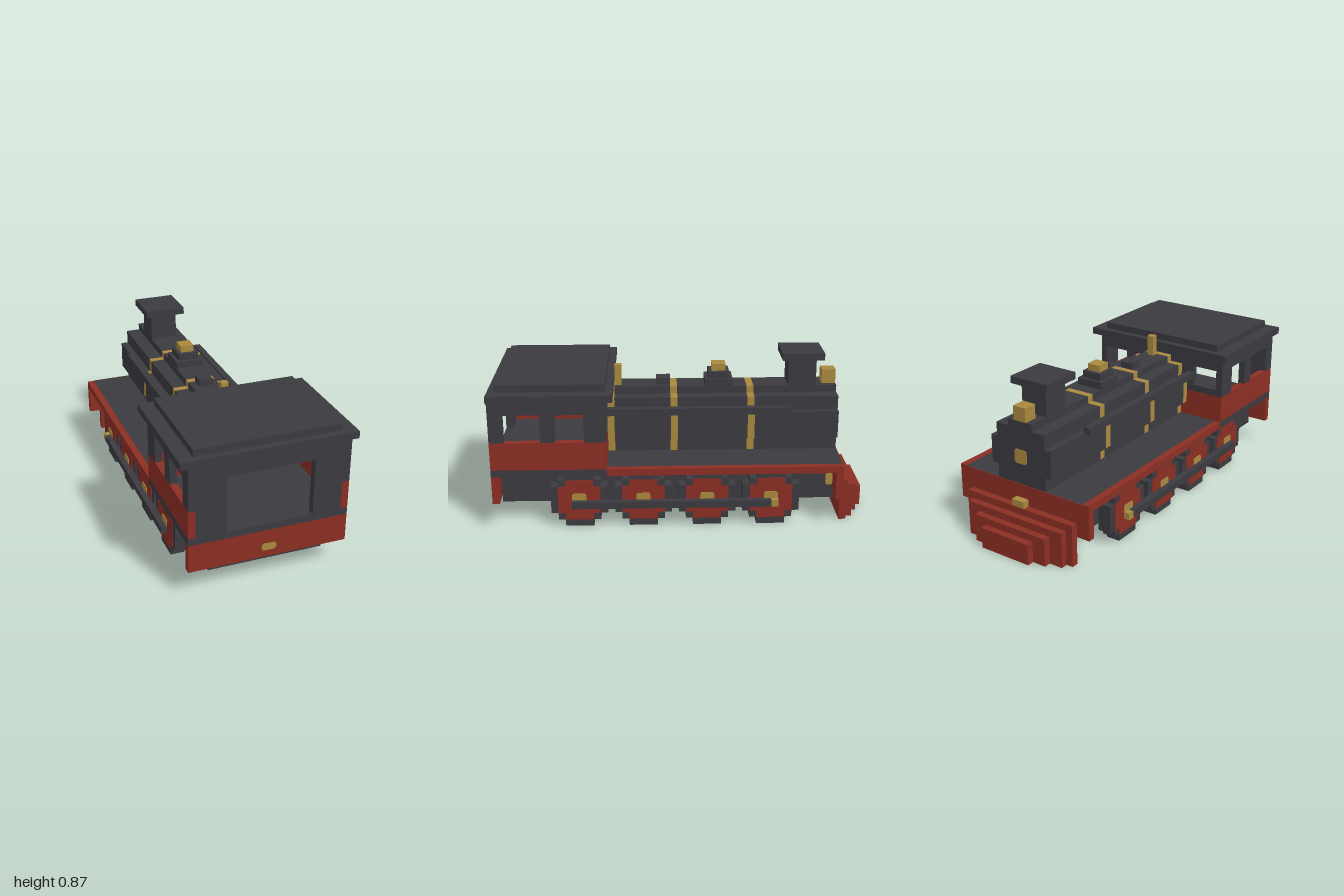
import * as THREE from 'three';

const U = 2 / 53; // one block

export function createModel() {
  const model = new THREE.Group();
  model.name = 'locomotive';
  const mat = (name, color) => {
    const m = new THREE.MeshStandardMaterial({ color });
    m.name = name;
    return m;
  };
  const dark = mat('charcoal', 0x3b3a40);
  const red = mat('brick red', 0x8b2e23);
  const gold = mat('brass', 0xaa893f);

  // Box in block units; k counts blocks from the cab end (z = 1) towards -z
  function box(name, m, x0, x1, y0, y1, k0, k1) {
    const g = new THREE.BoxGeometry((x1 - x0) * U, (y1 - y0) * U, (k1 - k0) * U);
    const mesh = new THREE.Mesh(g, m);
    mesh.name = name;
    mesh.position.set((x0 + x1) / 2 * U, (y0 + y1) / 2 * U, 1 - (k0 + k1) / 2 * U);
    model.add(mesh);
    return mesh;
  }
  const mid = (name, m, w, y0, y1, k0, k1) => box(name, m, -w, w, y0, y1, k0, k1);
  const pair = (name, m, x0, x1, y0, y1, k0, k1) => {
    box(name + 'Left', m, x0, x1, y0, y1, k0, k1);
    box(name + 'Right', m, -x1, -x0, y0, y1, k0, k1);
  };
  // Thin painted plate with clipped corners; turn is its rotation about y
  function plate(name, m, w, h, x, y, k, turn = 0) {
    const a = w / 2, b = h / 2, c = 0.25;
    const pts = [[a - c, -b], [a, c - b], [a, b - c], [a - c, b], [c - a, b], [-a, b - c], [-a, c - b], [c - a, -b]];
    const shape = new THREE.Shape(pts.map(p => new THREE.Vector2(p[0] * U, p[1] * U)));
    const mesh = new THREE.Mesh(new THREE.ExtrudeGeometry(shape, { depth: 0.004, bevelEnabled: false }), m);
    mesh.name = name;
    mesh.position.set(x * U, y * U, 1 - k * U);
    mesh.rotation.y = turn;
    model.add(mesh);
  }

  // Frame, deck and end beams
  mid('frame', dark, 8, 3, 8, 1, 48);
  mid('frameNose', dark, 8, 3, 4, 48, 49);
  mid('cabFloor', dark, 11, 8, 9, 0, 16);
  mid('deck', dark, 10, 8, 9, 16, 49);
  pair('deckEdge', red, 10, 11, 8, 9, 16, 49);
  mid('rearBeam', red, 11, 4, 8, 0, 1);
  mid('noseBeam', red, 11, 4, 8, 48, 49);
  mid('noseBeamTrim', red, 10, 8, 9, 49, 49.1);
  plate('rearCoupler', gold, 2, 1, 0, 5.5, 0);
  mid('noseCoupler', gold, 1, 6, 7, 49, 50);
  for (const s of [1, -1]) plate('frameLamp', gold, 1, 2, s * 8, 6, 47.5, s * Math.PI / 2);

  // Stepped cowcatcher
  [9, 8, 6, 4].forEach((w, i) => mid('cowcatcherStep', red, w, 0, 6 - i, 49 + i, 50 + i));

  // Wheels: stepped rim, red face, brass hub
  for (const k of [12, 21, 30, 39]) {
    for (const [h, y0, y1] of [[2, 0, 1], [3, 1, 2], [4, 2, 6], [3, 6, 7], [2, 7, 8]])
      pair('wheelRim', dark, 8, 10, y0, y1, k - h, k + h);
    for (const [h, y0, y1] of [[2, 1, 2], [3, 2, 6], [2, 6, 7]])
      pair('wheelFace', red, 10, 10.1, y0, y1, k - h, k + h);
    for (const s of [1, -1]) plate('wheelHub', gold, 2, 2, s * 10.1, 4, k, s * Math.PI / 2);
  }
  pair('couplingRod', dark, 10.05, 11, 3, 4, 11, 39);
  pair('crankPin', gold, 10.05, 11, 3, 4, 39, 40);

  // Boiler: stepped round section, brass bands
  const rows = [[4, 9, 11], [5, 11, 15], [4, 15, 17], [2, 17, 18]];
  const cuts = [16, 17, 25, 26, 36, 37, 49];
  for (let i = 0; i < 6; i++)
    for (const [w, y0, y1] of rows)
      mid(i % 2 ? 'boiler' : 'boilerBand', i % 2 ? dark : gold, w, y0, y1, cuts[i], cuts[i + 1]);
  pair('handrail', dark, 5, 6, 15, 16, 16, 42);
  plate('smokeboxHandle', gold, 2, 2, 0, 13, 49, Math.PI);

  // Boiler fittings
  mid('chimney', dark, 2, 18, 22, 42, 46);
  mid('chimneyCap', dark, 3, 22, 23, 41, 47);
  mid('headlamp', gold, 1, 18, 20, 47, 49);
  mid('domeBase', dark, 2, 18, 19, 30, 34);
  mid('domeUpper', dark, 1.5, 19, 20, 30.5, 33.5);
  mid('domeCap', gold, 1, 20, 21, 31, 33);
  mid('hatch', dark, 1, 18, 19, 23, 25);
  box('whistle', gold, 0, 1, 18, 21, 17, 18);

  // Cab side walls with two windows each
  pair('cabSideLower', red, 10, 11, 9, 13, 0, 16);
  for (const [k0, k1] of [[0, 2], [7, 9], [13, 16]])
    pair('cabPost', dark, 10, 11, 13, 17, k0, k1);
  pair('cabSideUpper', dark, 10, 11, 17, 19, 0, 16);
  // Open end wall
  pair('cabEndPanel', dark, 6, 10, 9, 19, 0, 1);
  mid('cabEndLintel', dark, 6, 17, 19, 0, 1);
  // Wall at the boiler with two lookout windows
  mid('cabBulkheadLower', red, 10, 9, 13, 15, 16);
  mid('cabBulkheadSill', dark, 10, 13, 14, 15, 16);
  mid('cabBulkheadMiddle', dark, 6, 14, 17, 15, 16);
  mid('cabBulkheadTop', dark, 10, 17, 19, 15, 16);
  // Controls inside
  mid('backhead', dark, 4, 9, 17, 14, 15);
  plate('fireDoor', red, 2, 2, 0, 11, 14);
  for (const s of [1, -1]) plate('gauge', gold, 1, 1, s * 2.5, 15.5, 14);

  // Roof
  mid('roof', dark, 12, 19, 20, 0, 17);
  mid('roofTop', dark, 10, 20, 21, 1, 16);

  return model;
}
